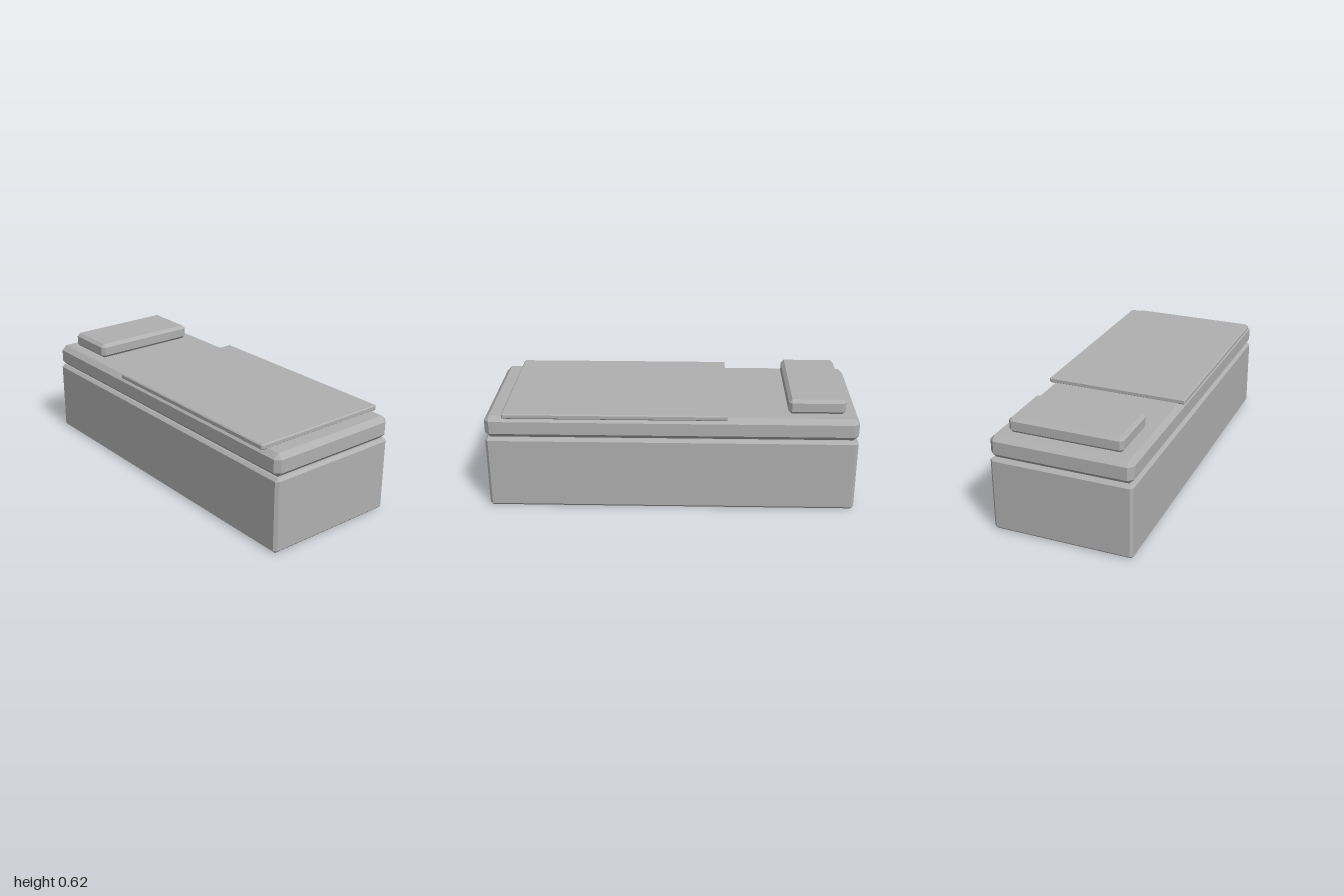
import * as THREE from 'three';
import { ConvexGeometry } from 'three/addons/geometries/ConvexGeometry.js';

// Box with every edge and corner cut by the bevel c
function chamferBox([x0, x1], [y0, y1], hz, c) {
  const half = [(x1 - x0) / 2, (y1 - y0) / 2, hz];
  const points = [];
  for (const sx of [-1, 1]) for (const sy of [-1, 1]) for (const sz of [-1, 1]) {
    for (let axis = 0; axis < 3; axis++) {
      const [x, y, z] = half.map((h, i) => (i === axis ? h : h - c));
      points.push(new THREE.Vector3(sx * x, sy * y, sz * z));
    }
  }
  return new ConvexGeometry(points).translate((x0 + x1) / 2, (y0 + y1) / 2, 0);
}

export function createModel() {
  const model = new THREE.Group();
  model.name = 'bed';
  const grey = new THREE.MeshStandardMaterial({ color: 0xb0b0b0 });
  grey.name = 'grey';

  // name, x range, y range, half depth, bevel
  const parts = [
    ['base', [-1, 1], [0, 0.411], 0.384, 0.015],
    ['mattress', [-1, 1], [0.411, 0.535], 0.384, 0.027],
    ['blanket', [-0.3, 0.9], [0.531, 0.56], 0.395, 0.006],
    ['pillow', [-0.93, -0.625], [0.533, 0.617], 0.307, 0.018],
  ];
  for (const [name, x, y, hz, bevel] of parts) {
    const mesh = new THREE.Mesh(chamferBox(x, y, hz, bevel), grey);
    mesh.name = name;
    model.add(mesh);
  }
  return model;
}
